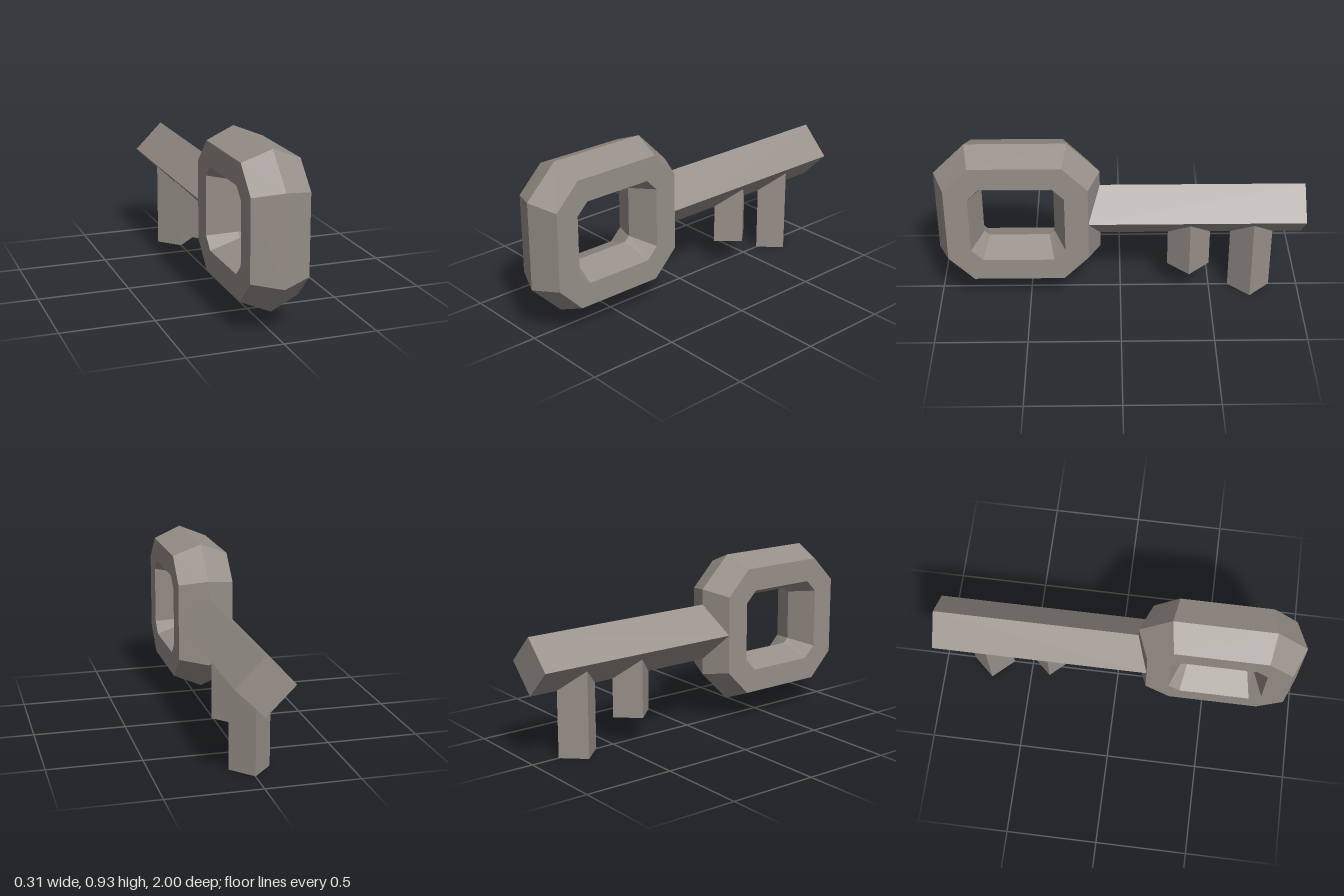
import * as THREE from 'three';

const metal = new THREE.MeshStandardMaterial({ color: 0x978f89 });
metal.name = 'dull metal';

// Chamfered rectangle in the zy plane: half sizes hz, hy and half lengths of the flat edges fz, fy
function octagon(x, hz, hy, fz, fy) {
  return [[hz, -fy], [hz, fy], [fz, hy], [-fz, hy], [-hz, fy], [-hz, -fy], [-fz, -hy], [fz, -hy]]
    .map(([z, y]) => [x, y, z]);
}

// Closed faceted ring skinned through a cycle of octagonal loops
function bowGeometry() {
  const w = 0.155;
  const rim = x => octagon(x, 0.382, 0.353, 0.247, 0.215);
  const lip = x => octagon(x, 0.256, 0.227, 0.193, 0.163);
  const loops = [
    octagon(0, 0.445, 0.415, 0.271, 0.241), // outer ridge
    rim(w), lip(w),
    octagon(0, 0.193, 0.165, 0.165, 0.139), // inner ridge
    lip(-w), rim(-w),
  ];
  const index = [];
  loops.forEach((_, i) => {
    const n = (i + 1) % loops.length;
    for (let j = 0; j < 8; j++) {
      const k = (j + 1) % 8;
      const a = i * 8 + j, b = i * 8 + k, c = n * 8 + j, d = n * 8 + k;
      index.push(a, c, b, b, c, d);
    }
  });
  const geo = new THREE.BufferGeometry();
  geo.setAttribute('position', new THREE.Float32BufferAttribute(loops.flat(2), 3));
  geo.setIndex(index);
  const flat = geo.toNonIndexed();
  flat.computeVertexNormals();
  return flat;
}

// Square post standing on its corner, from height y0 to y1
function toothGeometry(y0, y1) {
  const geo = new THREE.CylinderGeometry(1, 1, y1 - y0, 4).toNonIndexed();
  geo.scale(0.108, 1, 0.117);
  geo.computeVertexNormals();
  return geo;
}

export function createModel() {
  const key = new THREE.Group();
  key.name = 'key';
  const add = (name, geo, y, z) => {
    const mesh = new THREE.Mesh(geo, metal);
    mesh.name = name;
    mesh.position.set(0, y, z);
    key.add(mesh);
    return mesh;
  };

  // Ring-shaped handle
  add('bow', bowGeometry(), 0.519, 0.555);

  // Square bar turned on its edge, running back from the handle
  const side = 0.155 * Math.SQRT2;
  add('shaft', new THREE.BoxGeometry(side, side, 1.17), 0.52, -0.415).rotation.z = Math.PI / 4;

  // Two teeth of different length
  const top = 0.5;
  [['shortTooth', 0.15, -0.38], ['longTooth', 0, -0.725]].forEach(([name, y0, z]) =>
    add(name, toothGeometry(y0, top), (y0 + top) / 2, z));

  return key;
}
